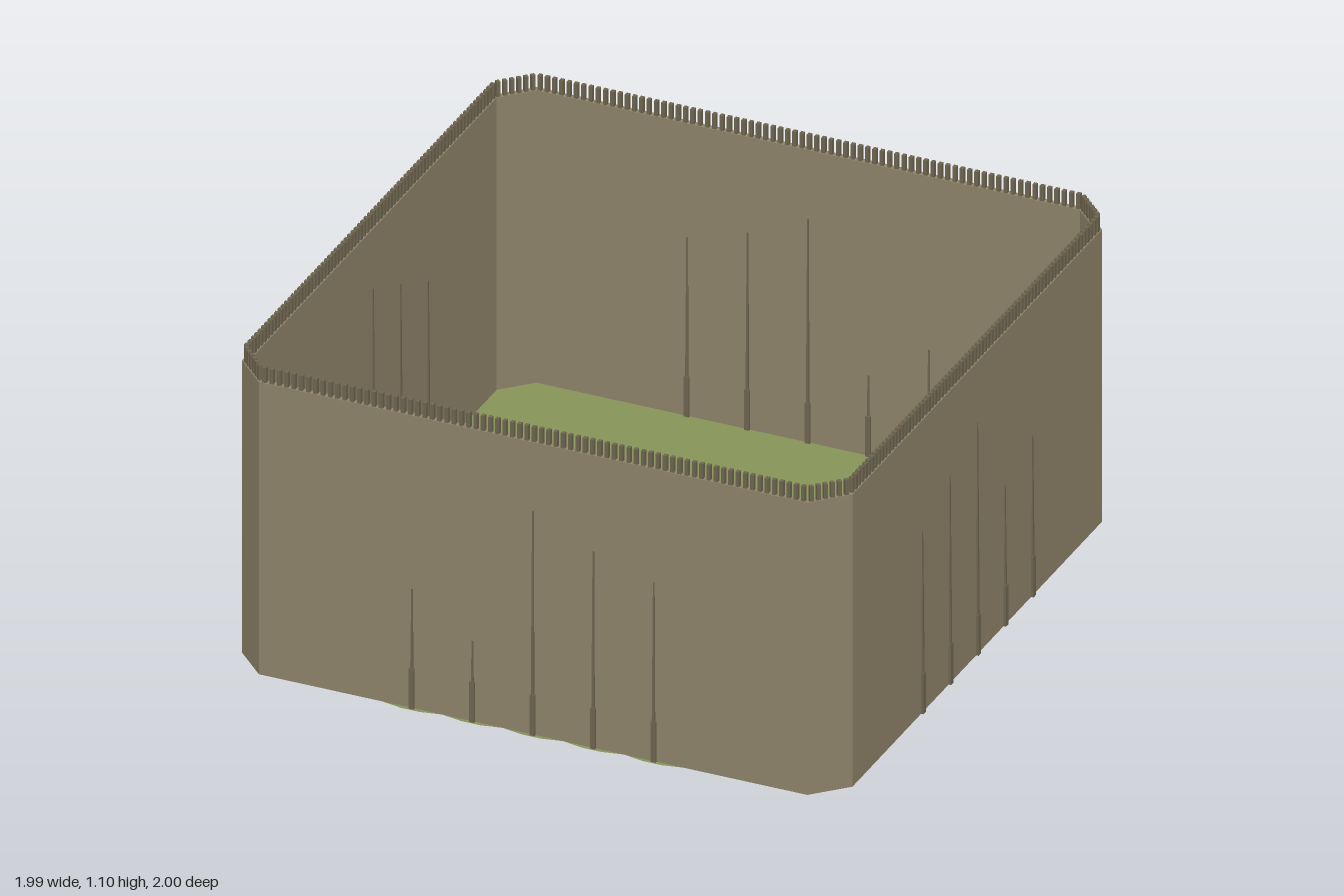
import * as THREE from 'three';
import { mergeGeometries } from 'three/addons/utils/BufferGeometryUtils.js';

const BASE = 0.07, TOP = 1.05, TOOTH_TOP = 1.1;
const HALF = 0.985, CUT = 0.885, THICK = 0.02;

// Square outline with cut corners
function outline(half, cut) {
  return [[-cut, -half], [cut, -half], [half, -cut], [half, cut],
    [cut, half], [-cut, half], [-half, cut], [-half, -cut]]
    .map(([x, y]) => new THREE.Vector2(x, y));
}

function box(w, h, d, x, y, z) {
  return new THREE.BoxGeometry(w, h, d).translate(x, y + h / 2, z);
}

// Box that narrows towards its top
function spike(w, h, d, x, y, z) {
  const g = new THREE.BoxGeometry(w, h, d);
  const p = g.attributes.position;
  for (let i = 0; i < p.count; i++) {
    if (p.getY(i) > 0) p.setXYZ(i, p.getX(i) * 0.5, p.getY(i), p.getZ(i) * 0.7);
  }
  g.translate(x, y + h / 2, z);
  return g;
}

export function createModel() {
  const model = new THREE.Group();
  model.name = 'walledYard';
  const wallMat = new THREE.MeshStandardMaterial({ color: 0x8c8268 });
  wallMat.name = 'wallTan';
  const trimMat = new THREE.MeshStandardMaterial({ color: 0x6e654f });
  trimMat.name = 'trimBrown';
  const grassMat = new THREE.MeshStandardMaterial({ color: 0x869459, side: THREE.DoubleSide });
  grassMat.name = 'grassGreen';

  function add(name, geometry, material, parent = model) {
    const m = new THREE.Mesh(geometry, material);
    m.name = name;
    parent.add(m);
    return m;
  }

  // Enclosing wall
  const ring = new THREE.Shape(outline(HALF, CUT));
  ring.holes.push(new THREE.Path(outline(HALF - THICK, CUT - THICK * 0.41).reverse()));
  const wall = new THREE.ExtrudeGeometry(ring, { depth: TOP - BASE, bevelEnabled: false });
  wall.rotateX(-Math.PI / 2).translate(0, BASE, 0);
  add('wall', wall, wallMat);

  // Row of small teeth along the top of the wall
  const teeth = [];
  const path = outline(HALF - THICK / 2, CUT - THICK * 0.2);
  path.forEach((a, k) => {
    const b = path[(k + 1) % path.length];
    const length = a.distanceTo(b);
    const count = Math.round(length / 0.0235);
    const angle = Math.atan2(b.y - a.y, b.x - a.x);
    for (let i = 0; i < count; i++) {
      const p = a.clone().lerp(b, (i + 0.5) / count);
      const t = new THREE.BoxGeometry(0.012, TOOTH_TOP - TOP, 0.014);
      teeth.push(t.rotateY(-angle).translate(p.x, (TOP + TOOTH_TOP) / 2, p.y));
    }
  });
  add('topTeeth', mergeGeometries(teeth), trimMat);

  // Grass floor, open where the hollow sits
  const S = 0.195;
  const x0 = -4.5 * S, x1 = -1.5 * S, z0 = -0.5 * S, z1 = 3.5 * S;
  const ground = new THREE.Shape(outline(HALF - 0.002, CUT));
  ground.holes.push(new THREE.Path([[x0, -z0], [x1, -z0], [x1, -z1], [x0, -z1]]
    .map(([x, y]) => new THREE.Vector2(x, y))));
  add('floor', new THREE.ShapeGeometry(ground).rotateX(-Math.PI / 2).translate(0, BASE, 0), grassMat);

  // Shallow hollow: the inner grid points sink and slide slightly back
  const hollow = new THREE.PlaneGeometry(3 * S, 4 * S, 3, 4);
  hollow.rotateX(-Math.PI / 2).translate((x0 + x1) / 2, BASE, (z0 + z1) / 2);
  const p = hollow.attributes.position;
  for (let i = 0; i < p.count; i++) {
    const x = p.getX(i), z = p.getZ(i);
    if (x > x0 + 0.01 && x < x1 - 0.01 && z > z0 + 0.01 && z < z1 - 0.01) {
      p.setXYZ(i, x, 0, z - 0.035);
    }
  }
  add('hollow', hollow, grassMat);

  // Slim posts through each wall, tallest values measured from the floor
  const heights = [[0.4, 0.27, 0.75, 0.66, 0.6], [0.61, 0.7, 0.78, 0.47, 0.54]];
  ['front', 'left', 'back', 'right'].forEach((side, k) => {
    const group = new THREE.Group();
    group.name = side + 'Posts';
    group.rotation.y = k * Math.PI / 2;
    const posts = [];
    heights[k % 2].forEach((h, i) => {
      const x = (i - 2) * S;
      posts.push(box(0.016, 0.135, 0.036, x, BASE, HALF - THICK / 2));
      posts.push(spike(0.01, h, 0.034, x, BASE, HALF - THICK / 2));
    });
    add(side + 'Post', mergeGeometries(posts), trimMat, group);
    // Low lips of ground bulging out under the front and back walls
    if (k % 2 === 0) {
      for (let i = -2; i <= 2; i++) {
        const lip = new THREE.Shape([[-0.097, 0], [-0.03, -0.013], [0.03, -0.013], [0.097, 0]]
          .map(([x, y]) => new THREE.Vector2(x, y)));
        const g = new THREE.ShapeGeometry(lip).rotateX(-Math.PI / 2);
        add(side + 'GroundLip', g.translate(i * S, BASE, HALF), grassMat, group);
      }
    }
    model.add(group);
  });
  return model;
}
